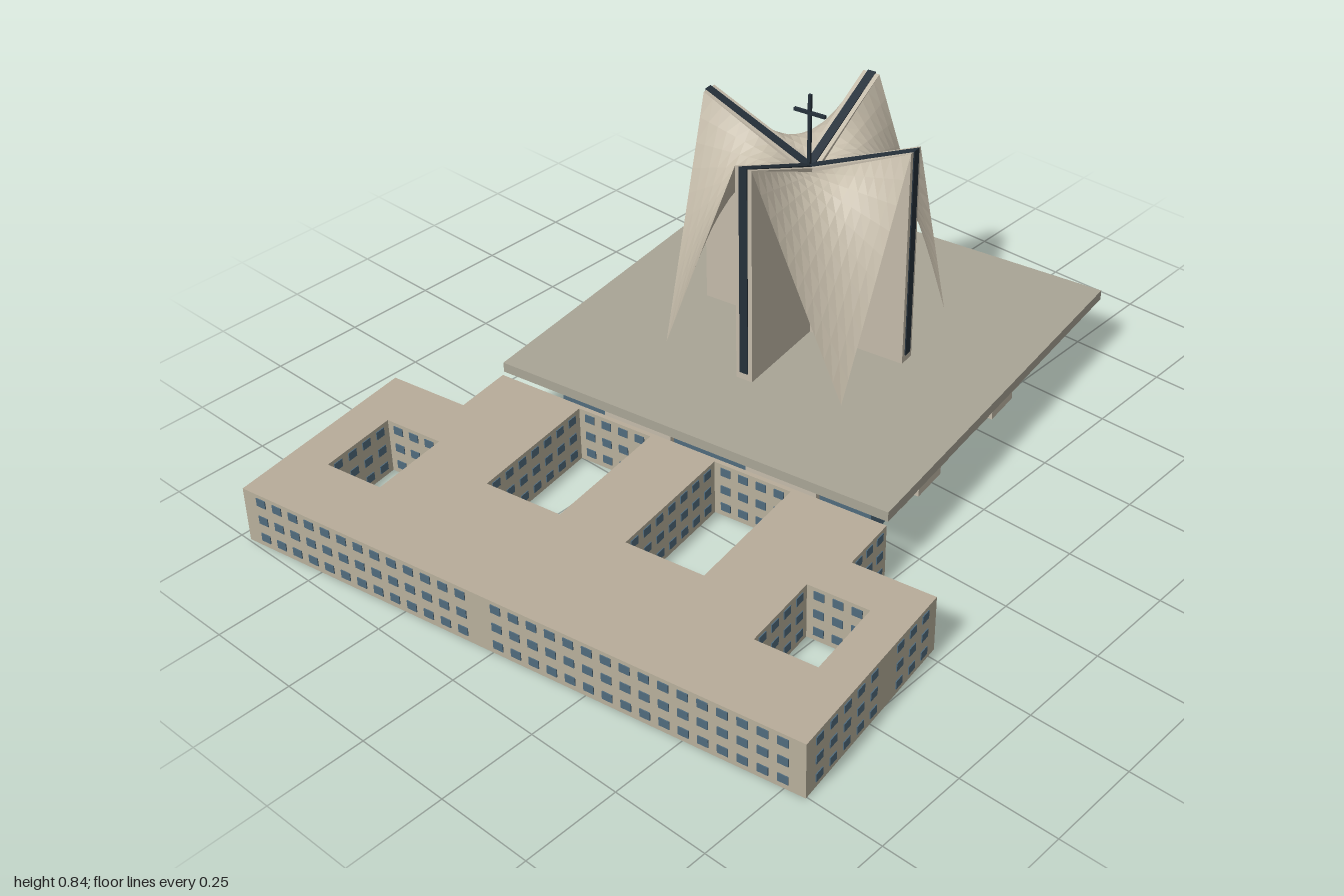
import * as THREE from 'three';
import { mergeGeometries } from 'three/addons/utils/BufferGeometryUtils.js';

const mat = (color, extra = {}) => new THREE.MeshStandardMaterial({ color, ...extra });
const wallMat = mat(0xb8b09c), roofMat = mat(0xb8ac9a), slabMat = mat(0xa9a596);
const glassMat = mat(0x506b7d), darkMat = mat(0x25303a), doorMat = mat(0x5c4630);
const panelMat = mat(0xc4bbaa);
const shellMat = mat(0xc4bba9, { flatShading: true, side: THREE.DoubleSide });

function add(parent, name, geometry, material, x = 0, y = 0, z = 0) {
  const mesh = new THREE.Mesh(geometry, material);
  mesh.name = name;
  mesh.position.set(x, y, z);
  parent.add(mesh);
  return mesh;
}

function group(parent, name, x = 0, y = 0, z = 0) {
  const g = new THREE.Group();
  g.name = name;
  g.position.set(x, y, z);
  parent.add(g);
  return g;
}

const box = (w, h, d) => new THREE.BoxGeometry(w, h, d);

// Corner points of a rectangle in plan
const rect = (x0, x1, z0, z1) => [[x0, z0], [x1, z0], [x1, z1], [x0, z1]];
const points = (list, flip = 1) => list.map(([x, y]) => new THREE.Vector2(x, flip * y));

// Three rows of windows along a wall from a to b, leaving out slot "skip"
function windowRows([ax, az], [bx, bz], count, margin = 0.045, skip = -1) {
  const out = [], len = Math.hypot(bx - ax, bz - az);
  for (let i = 0; i < count; i++) {
    if (i === skip) continue;
    const t = (margin + (len - 2 * margin) * (i / (count - 1))) / len;
    for (const y of [0.027, 0.078, 0.13]) {
      const w = box(0.027, 0.022, 0.005);
      w.rotateY(-Math.atan2(bz - az, bx - ax));
      w.translate(ax + (bx - ax) * t, y, az + (bz - az) * t);
      out.push(w);
    }
  }
  return out;
}

// Low office wing with four courtyards
function buildWing(parent) {
  const wing = group(parent, 'wing');
  const [xl, xr, il, ir] = [-0.868, 0.674, -0.65, 0.458];
  const [front, shoulder, back] = [0.87, 0.333, 0.178];
  const outline = [[xl, front], [xr, front], [xr, shoulder], [ir, shoulder],
    [ir, back], [il, back], [il, shoulder], [xl, shoulder]];
  const courts = [rect(-0.764, -0.603, 0.481, 0.694), rect(-0.403, -0.19, 0.19, 0.548),
    rect(-0.005, 0.208, 0.19, 0.548), rect(0.41, 0.571, 0.481, 0.694)];
  // right-hand courtyard sits a little nearer the end wall
  courts[3] = rect(0.414, 0.575, 0.45, 0.664);

  const shape = new THREE.Shape(points(outline, -1));
  for (const c of courts) shape.holes.push(new THREE.Path(points(c, -1)));
  const body = new THREE.ExtrudeGeometry(shape, { depth: 0.151, bevelEnabled: false });
  body.rotateX(-Math.PI / 2);
  add(wing, 'wingBlock', body, [roofMat, wallMat]);

  const panes = [...windowRows([xl, front], [xr, front], 30, 0.055, 13)];
  for (const x of [xl, xr]) panes.push(...windowRows([x, front], [x, shoulder], 9, 0.05, 5));
  for (const [x0, x1] of [[xl, il], [ir, xr]])
    panes.push(...windowRows([x0, shoulder], [x1, shoulder], 4));
  for (const x of [il, ir]) panes.push(...windowRows([x, shoulder], [x, back], 3, 0.03));
  for (const c of courts) {
    c.forEach((p, i) => {
      const q = c[(i + 1) % 4];
      const len = Math.hypot(q[0] - p[0], q[1] - p[1]);
      panes.push(...windowRows(p, q, Math.round(len / 0.052), 0.032));
    });
  }
  add(wing, 'wingWindows', mergeGeometries(panes), glassMat);
}

// Glazed hall under the wide roof slab
function buildHall(parent) {
  const hall = group(parent, 'hall', -0.096, 0, -0.372);
  const [hw, hd, h] = [0.452, 0.442, 0.158];
  const body = add(hall, 'hallGlazing', box(2 * hw, h, 2 * hd),
    [glassMat, glassMat, darkMat, darkMat, glassMat, glassMat], 0, h / 2, 0);
  body.name = 'hallGlazing';
  for (const s of [-1, 1]) {
    add(hall, 'sideDoor', box(0.012, h, 0.14), doorMat, s * hw, h / 2, 0);
    for (const t of [-1, 1]) {
      add(hall, 'sidePanel', box(0.016, h, 0.24), panelMat, s * hw, h / 2, t * 0.19);
      add(hall, 'sidePier', box(0.04, h, 0.11), panelMat, s * hw, h / 2, t * 0.19);
      add(hall, 'endPanel', box(0.2, h, 0.03), panelMat, t * 0.21, h / 2, s * hd);
    }
  }
  add(parent, 'roofSlab', box(1.108, 0.027, 1.115), slabMat, -0.096, 0.1715, -0.385);
}

// Bilinear sheet draped from the ridge centre over two arm tips down to a foot
function drape(c, a, b, f, n = 10) {
  const g = new THREE.PlaneGeometry(1, 1, n, n);
  const p = g.attributes.position, v = new THREE.Vector3();
  for (let i = 0; i < p.count; i++) {
    const s = p.getX(i) + 0.5, t = p.getY(i) + 0.5;
    v.set(0, 0, 0).addScaledVector(c, (1 - s) * (1 - t)).addScaledVector(a, s * (1 - t))
      .addScaledVector(b, (1 - s) * t).addScaledVector(f, s * t);
    p.setXYZ(i, v.x, v.y, v.z);
  }
  g.computeVertexNormals();
  return g;
}

// Upright slab from a profile of (radius, height)
function fin(profile, width) {
  const g = new THREE.ExtrudeGeometry(new THREE.Shape(points(profile)),
    { depth: width, bevelEnabled: false });
  return g.translate(0, 0, -width / 2);
}

// Cross-plan tower: four fins with glass strips and four draped shells
function buildTower(parent) {
  const tower = group(parent, 'tower', -0.105, 0, -0.385);
  const [r, foot, base, tip, dip, w] = [0.293, 0.258, 0.185, 0.78, 0.65, 0.046];
  const V = (x, y, z) => new THREE.Vector3(x, y, z);
  const finGeo = fin([[0, base], [r, base], [r, tip], [0, dip]], w);
  const stripGeo = fin([[0, 0.4], [r - 0.03, 0.205], [r + 0.003, 0.205],
    [r + 0.003, tip + 0.003], [0, dip + 0.004]], 0.023);
  const shellGeo = drape(V(w / 2, dip, w / 2), V(r, tip, w / 2), V(w / 2, tip, r),
    V(foot, base, foot));
  for (let i = 0; i < 4; i++) {
    const quarter = group(tower, 'towerQuarter');
    quarter.rotation.y = i * Math.PI / 2;
    add(quarter, 'finWall', finGeo, panelMat);
    add(quarter, 'glassStrip', stripGeo, darkMat);
    add(quarter, 'drapedShell', shellGeo, shellMat);
  }
  add(tower, 'mast', box(0.008, 0.205, 0.008), darkMat, 0, 0.742, 0);
  add(tower, 'crossBar', box(0.088, 0.008, 0.008), darkMat, 0, 0.795, 0);
}

export function createModel() {
  const model = new THREE.Group();
  model.name = 'church';
  // the whole complex stands turned nine degrees
  const complex = group(model, 'complex');
  complex.rotation.y = THREE.MathUtils.degToRad(9);
  buildWing(complex);
  buildHall(complex);
  buildTower(complex);
  return model;
}
